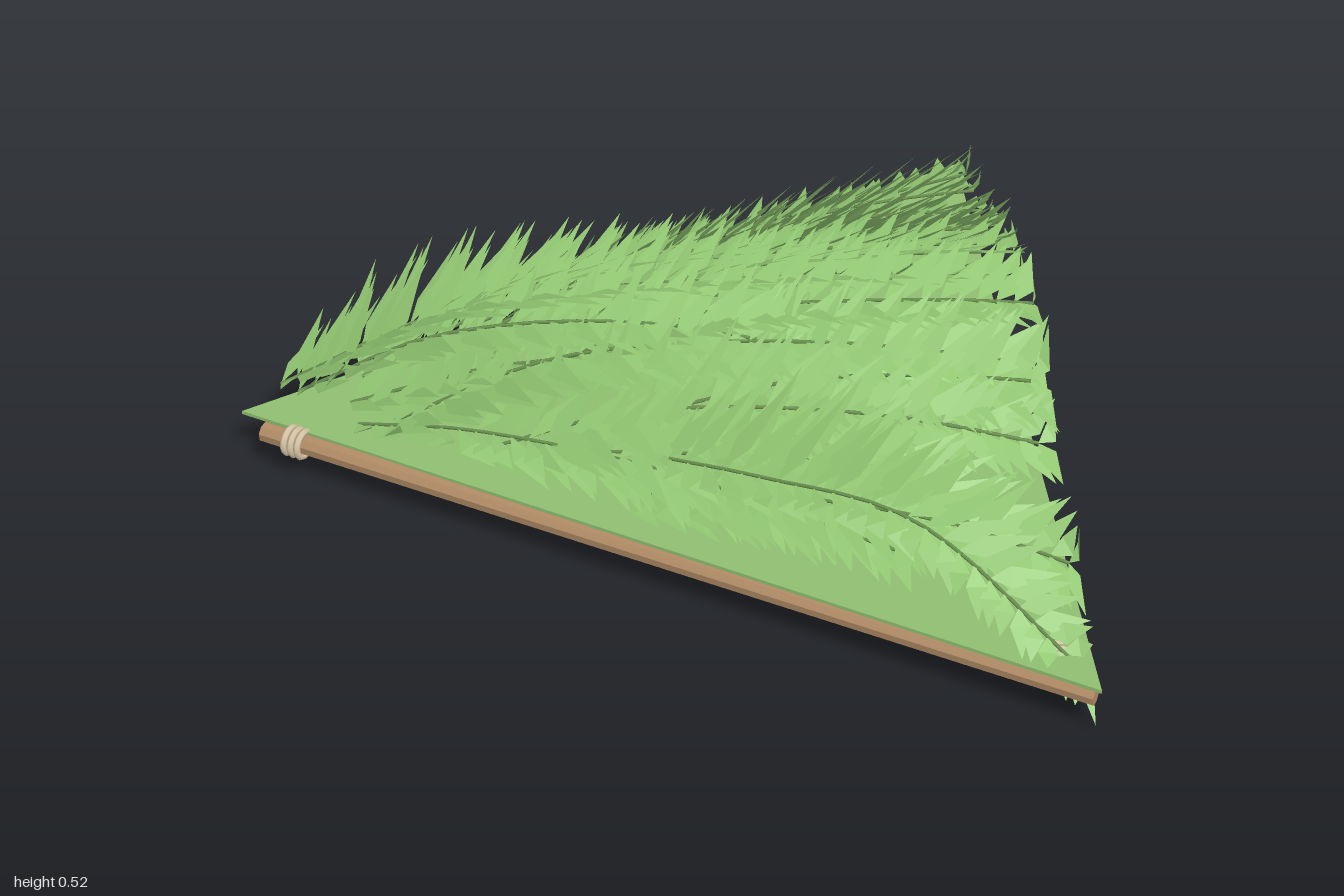
import * as THREE from 'three';

const EDGE_X = 0.85, APEX_X = -0.86, SLOPE = 0.99 / 1.71;
const leafMat = new THREE.MeshStandardMaterial({ color: 0x93c973, side: THREE.DoubleSide, flatShading: true });
const panelMat = new THREE.MeshStandardMaterial({ color: 0x8fbe70 });
const stemMat = new THREE.MeshStandardMaterial({ color: 0x6a9150 });
const woodMat = new THREE.MeshStandardMaterial({ color: 0xb08a64, flatShading: true });
const ropeMat = new THREE.MeshStandardMaterial({ color: 0xd8c6a6 });
const V = (x, y, z) => new THREE.Vector3(x, y, z);
const clamp = THREE.MathUtils.clamp;

// keeps foliage inside the triangular outline and above the panel, hanging only over the open edge
function clip(p) {
  p.x = clamp(p.x, APEX_X, EDGE_X);
  const w = (p.x - APEX_X) * SLOPE;
  p.z = clamp(p.z, -w, w);
  p.y = Math.max(p.y, p.x > 0.76 ? 0.005 : 0.125);
  return p;
}

function add(group, name, geometry, material) {
  const mesh = new THREE.Mesh(geometry, material);
  mesh.name = name;
  group.add(mesh);
  return mesh;
}

// straight eight-sided pole between two points
function pole(group, name, a, b, r) {
  const dir = b.clone().sub(a);
  const mesh = add(group, name, new THREE.CylinderGeometry(r * 0.9, r, dir.length(), 8), woodMat);
  mesh.position.copy(a).lerp(b, 0.5);
  mesh.quaternion.setFromUnitVectors(V(0, 1, 0), dir.normalize());
}

// three rope turns around a pole
function lashing(group, name, at, dir) {
  for (let i = -1; i <= 1; i++) {
    const ring = add(group, name, new THREE.TorusGeometry(0.029, 0.008, 6, 14), ropeMat);
    ring.position.copy(at).addScaledVector(dir, i * 0.017);
    ring.quaternion.setFromUnitVectors(V(0, 0, 1), dir);
  }
}

// arching fern frond with paired pointed leaflets, rolled outward away from the centre line
function frond(group, [x0, z0, x1, z1, peak, endY, startY = 0.17], index) {
  const at = (t, y) => V(x0 + (x1 - x0) * t, y, z0 + (z1 - z0) * t);
  const curve = new THREE.CatmullRomCurve3([
    at(0, startY), at(0.22, startY + (peak - startY) * 0.78), at(0.58, peak), at(1, endY)]);
  const count = Math.round(curve.getLength() / 0.04);
  const pos = [], spine = [];
  for (let i = 0; i <= count; i++) {
    const t = i / count, base = curve.getPointAt(t);
    if (base.x > EDGE_X) break;
    spine.push(clip(base.clone()));
    const ahead = curve.getTangentAt(t);
    const roll = 0.6 * clamp(base.z * 4, -1, 1);
    const side = ahead.clone().cross(V(0, 1, 0)).normalize().applyAxisAngle(ahead, roll);
    const up = side.clone().cross(ahead);
    const len = 0.25 * Math.min(1, 0.7 + 3 * t) * Math.sqrt(Math.max(0.2, 1.05 - t));
    for (const s of [-1, 1]) {
      const wobble = 0.14 * Math.sin(i * 2.3 + index * 1.7 + s);
      const dir = ahead.clone().multiplyScalar(0.65)
        .addScaledVector(side, s * (0.8 + wobble)).addScaledVector(up, 0.3 + wobble).normalize();
      const across = dir.clone().cross(up).normalize().multiplyScalar(0.022);
      const mid = base.clone().addScaledVector(dir, len * 0.3);
      const a = clip(mid.clone().add(across)), b = clip(mid.clone().sub(across));
      const tip = clip(base.clone().addScaledVector(dir, len));
      const root = clip(base.clone());
      for (const p of [root, a, b, a, tip, b]) pos.push(p.x, p.y, p.z);
    }
  }
  const geo = new THREE.BufferGeometry();
  geo.setAttribute('position', new THREE.Float32BufferAttribute(pos, 3));
  geo.computeVertexNormals();
  add(group, 'frondLeaflets', geo, leafMat);
  add(group, 'frondStem', new THREE.TubeGeometry(new THREE.CatmullRomCurve3(spine), 16, 0.004, 5), stemMat);
}

export function createModel() {
  const model = new THREE.Group();

  // thin triangular roof panel
  const outline = new THREE.Shape([
    new THREE.Vector2(APEX_X, 0), new THREE.Vector2(EDGE_X, -1), new THREE.Vector2(EDGE_X, 1)]);
  const panel = new THREE.ExtrudeGeometry(outline, { depth: 0.008, bevelEnabled: false });
  panel.rotateX(-Math.PI / 2).translate(0, 0.112, 0);
  add(model, 'panel', panel, panelMat);

  // supporting poles
  const frame = new THREE.Group();
  frame.name = 'frame';
  const a = V(-0.81, 0.092, 0.04), b = V(0.845, 0.09, 0.98);
  const along = b.clone().sub(a).normalize();
  pole(frame, 'edgePole', a, b, 0.023);
  pole(frame, 'rearPole', V(0.825, 0.09, 0.97), V(0.825, 0.09, -0.97), 0.02);
  pole(frame, 'middlePole', V(0.12, 0.092, 0.56), V(0.12, 0.092, -0.56), 0.017);
  lashing(frame, 'apexLashing', a.clone().addScaledVector(along, 0.085), along);
  lashing(frame, 'cornerLashing', V(0.79, 0.088, 0.87), V(0, 0, 1));
  model.add(frame);

  // fern covering: start x, start z, end x, end z, peak height, end height, start height
  const foliage = new THREE.Group();
  foliage.name = 'foliage';
  const fronds = [
    [-0.77, 0, 1.0, -0.04, 0.42, 0.39, 0.19],
    [-0.73, 0.03, 0.7, 0.2, 0.4, 0.24, 0.19],
    [-0.7, -0.04, 1.0, -0.24, 0.4, 0.36, 0.19],
    [-0.52, 0.12, 1.1, 0.24, 0.39, 0.3],
    [-0.52, -0.13, 1.05, -0.42, 0.35, 0.29],
    [-0.32, 0.23, 1.05, 0.44, 0.32, 0.23],
    [-0.3, -0.24, 1.1, -0.58, 0.31, 0.24],
    [-0.2, 0.05, 1.2, 0.1, 0.42, 0.38, 0.25],
    [-0.15, -0.1, 1.2, -0.14, 0.41, 0.38, 0.25],
    [-0.1, 0.32, 0.93, 0.6, 0.26, -0.06, 0.22],
    [-0.08, -0.37, 1.1, -0.78, 0.25, 0.19],
    [-0.02, 0.4, 1.05, 0.78, 0.24, 0.14],
    [0.05, 0.46, 0.85, 0.92, 0.33, 0.08, 0.3],
    [0.2, -0.53, 1.1, -0.96, 0.19, 0.17],
    [0.1, -0.3, 1.25, -0.36, 0.34, 0.31, 0.25],
    [0.1, 0.2, 1.25, 0.34, 0.35, 0.29, 0.25],
    [-0.6, 0.1, 0.5, 0.6, 0.22, 0.16, 0.15],
    [-0.6, -0.08, 0.6, -0.6, 0.23, 0.17, 0.15],
    [-0.62, 0.02, 0.95, 0.1, 0.28, 0.22, 0.15],
    [-0.4, -0.1, 1.0, -0.32, 0.27, 0.22, 0.15],
  ];
  fronds.forEach((f, i) => frond(foliage, f, i));
  model.add(foliage);
  return model;
}
